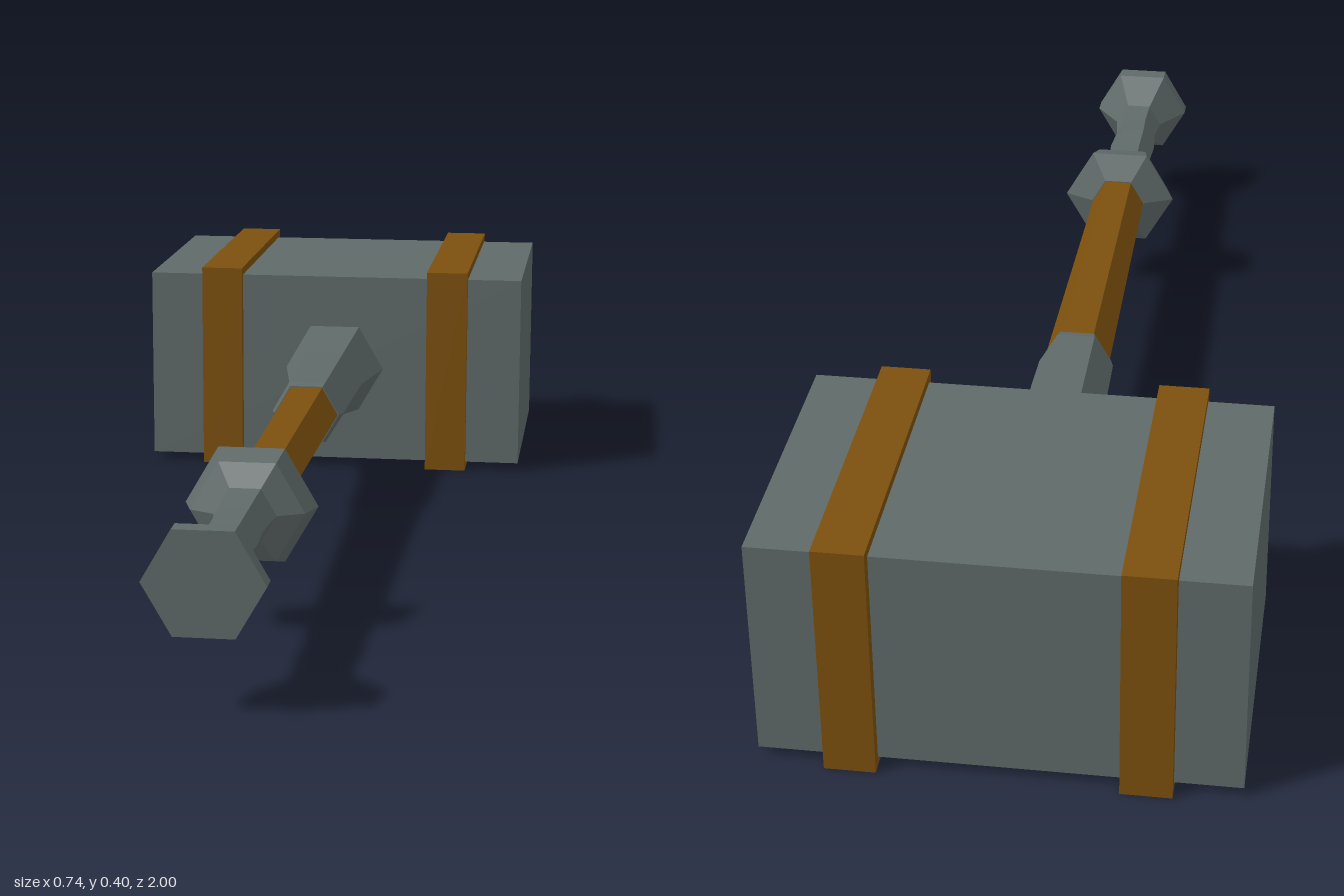
import * as THREE from 'three';

const AXIS_Y = 0.2;

export function createModel() {
  const model = new THREE.Group();
  model.name = 'warHammer';

  const steel = new THREE.MeshStandardMaterial({ color: 0x5f6a69, flatShading: true });
  steel.name = 'grey steel';
  const brown = new THREE.MeshStandardMaterial({ color: 0x7c500d, flatShading: true });
  brown.name = 'brown';

  const box = (name, material, w, h, d, x, z) => {
    const mesh = new THREE.Mesh(new THREE.BoxGeometry(w, h, d), material);
    mesh.name = name;
    mesh.position.set(x, AXIS_Y, z);
    model.add(mesh);
  };

  // Six-sided turned part along z, from [radius, z] pairs with z rising; corners lie on the x axis
  const hexTurned = (name, material, profile) => {
    const closed = [[0, profile[0][1]], ...profile, [0, profile[profile.length - 1][1]]];
    const points = closed.map(([r, z]) => new THREE.Vector2(r, z));
    const geometry = new THREE.LatheGeometry(points, 6, Math.PI / 6);
    geometry.rotateX(Math.PI / 2);
    const mesh = new THREE.Mesh(geometry, material);
    mesh.name = name;
    mesh.position.y = AXIS_Y;
    model.add(mesh);
  };

  // Head block with two raised bands
  box('head', steel, 0.74, 0.37, 0.485, 0, -0.738);
  for (const side of [-1, 1]) {
    box(side > 0 ? 'leftBand' : 'rightBand', brown, 0.08, 0.4, 0.52, side * 0.225, -0.74);
  }

  // Flared socket joining the shaft to the head
  hexTurned('socket', steel, [[0.098, -0.5], [0.071, -0.35], [0.066, -0.1], [0.06, -0.08]]);

  // Tapered shaft
  hexTurned('shaft', brown, [[0.058, -0.09], [0.05, 0.55]]);

  // Guard, waisted grip and flared pommel
  hexTurned('gripAndPommel', steel, [
    [0.052, 0.535], [0.107, 0.56], [0.092, 0.605], [0.05, 0.627],
    [0.046, 0.66], [0.042, 0.72], [0.045, 0.79], [0.04, 0.85],
    [0.046, 0.905], [0.092, 0.968], [0.092, 1],
  ]);

  return model;
}
